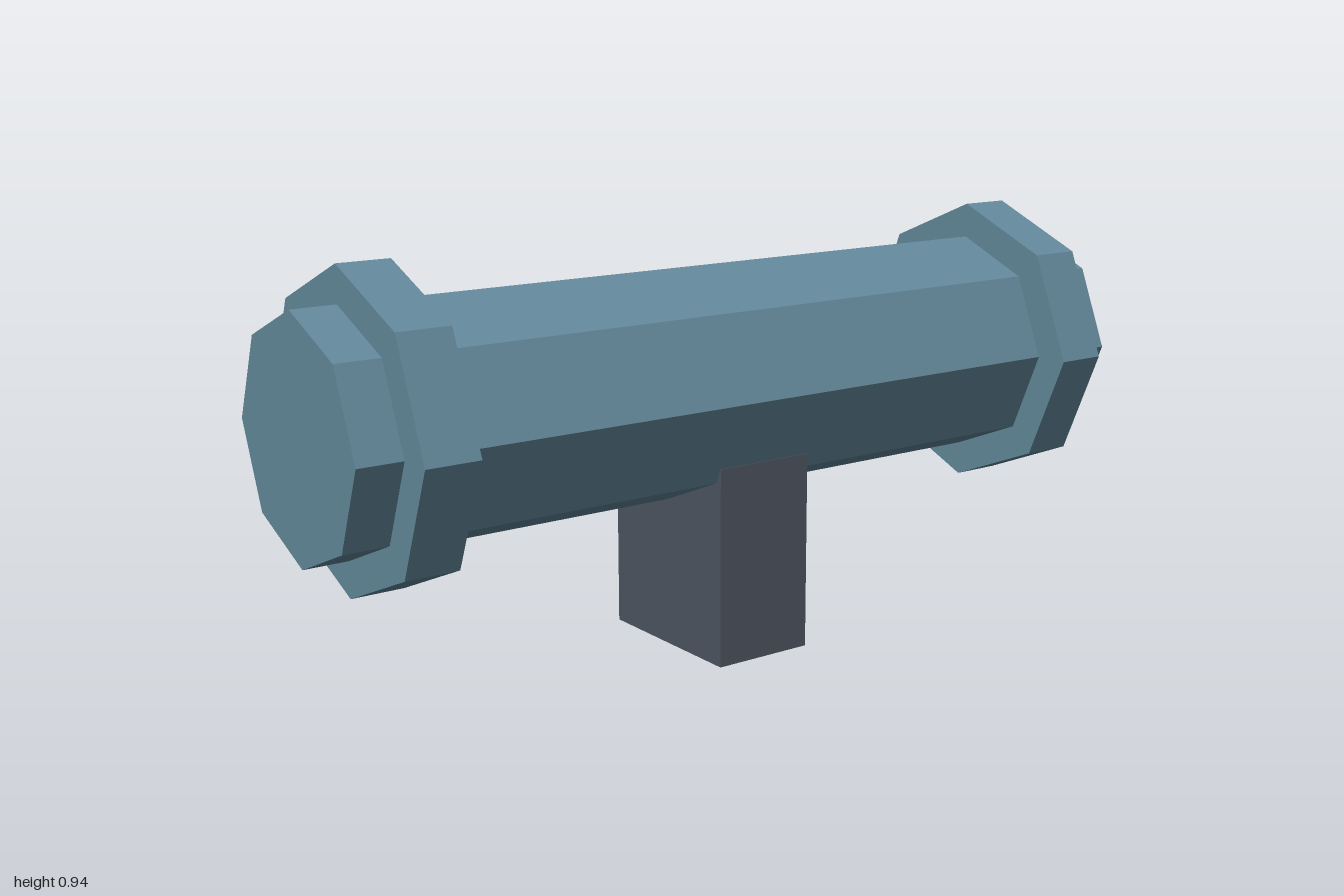
import * as THREE from 'three';

export function createModel() {
  const model = new THREE.Group();
  const blue = new THREE.MeshStandardMaterial({ color: 0x63899b });
  blue.name = 'steelBlue';
  blue.flatShading = true;
  const grey = new THREE.MeshStandardMaterial({ color: 0x4e5560 });
  grey.name = 'darkGrey';
  grey.flatShading = true;

  // Octagonal prism lying along x, with a corner pointing up
  function addPrism(name, radius, length, x) {
    const geometry = new THREE.CylinderGeometry(radius, radius, length, 8);
    geometry.rotateZ(Math.PI / 2);
    const mesh = new THREE.Mesh(geometry, blue);
    mesh.name = name;
    mesh.position.set(x, 0.6, 0);
    model.add(mesh);
  }

  // Long barrel with a collar near each end
  addPrism('barrel', 0.26, 2, 0);
  addPrism('leftCollar', 0.34, 0.12, 0.84);
  addPrism('rightCollar', 0.34, 0.12, -0.84);

  // Block that carries the barrel
  const support = new THREE.Mesh(new THREE.BoxGeometry(0.24, 0.45, 0.4), grey);
  support.name = 'support';
  support.position.y = 0.225;
  model.add(support);

  return model;
}
